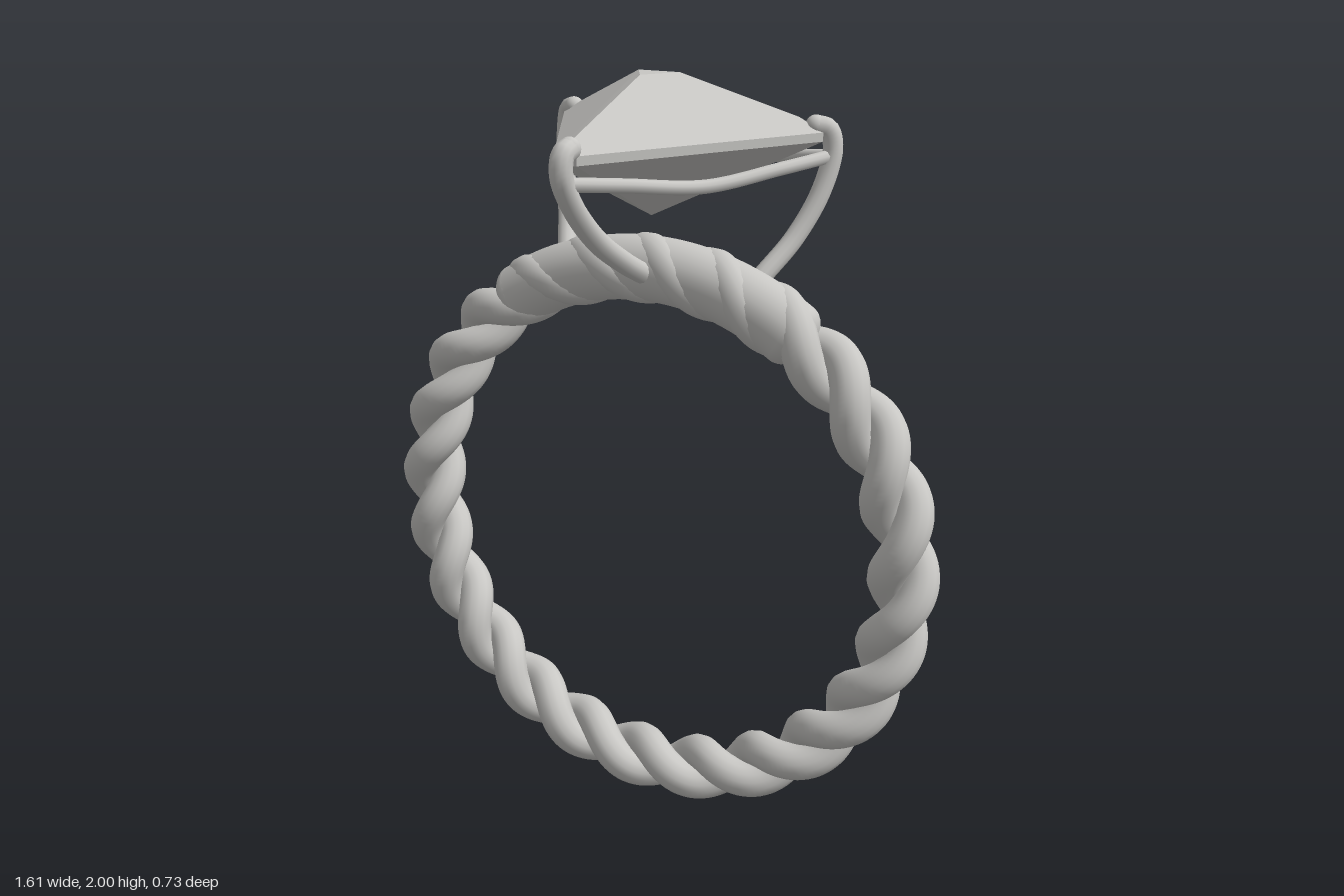
import * as THREE from 'three';
import { ConvexGeometry } from 'three/addons/geometries/ConvexGeometry.js';

const V = (x, y, z) => new THREE.Vector3(x, y, z);
const RING = { y: 0.805, z: -0.1, radius: 0.715 };

// Curve defined by a plain function of t in 0..1
class RuleCurve extends THREE.Curve {
  constructor(rule) {
    super();
    this.rule = rule;
  }
  getPoint(t, target = new THREE.Vector3()) {
    return target.copy(this.rule(t));
  }
}

// Point at angle a on the ring, moved outward and sideways
function ringPoint(a, out = 0, side = 0) {
  const r = RING.radius + out;
  return V(r * Math.cos(a), RING.y + r * Math.sin(a), RING.z + side);
}

export function createModel() {
  const model = new THREE.Group();
  const silver = new THREE.MeshStandardMaterial({ color: 0xc8c7c4 });
  silver.name = 'silver grey';

  function add(name, geometry, parent = model) {
    const mesh = new THREE.Mesh(geometry, silver);
    mesh.name = name;
    parent.add(mesh);
    return mesh;
  }
  function ball(name, p, r, parent) {
    add(name, new THREE.SphereGeometry(r, 16, 12), parent).position.copy(p);
  }

  // Twisted band: two strands wound around the ring
  const band = new THREE.Group();
  band.name = 'twistedBand';
  model.add(band);
  for (let i = 0; i < 2; i++) {
    const strand = new RuleCurve((t) => {
      const a = t * Math.PI * 2;
      const phi = 12 * a + i * Math.PI;
      return ringPoint(a, 0.041 * Math.cos(phi), -0.041 * Math.sin(phi));
    });
    add('strand', new THREE.TubeGeometry(strand, 480, 0.049, 14, true), band);
  }

  // Smooth shoulder on top of the band
  const half = THREE.MathUtils.degToRad(33);
  const shoulder = new THREE.TorusGeometry(RING.radius, 0.083, 24, 60, half * 2);
  shoulder.rotateZ(Math.PI / 2 - half);
  add('shoulder', shoulder).position.set(0, RING.y, RING.z);
  for (const s of [-1, 1]) {
    const end = new THREE.SphereGeometry(0.083, 24, 16);
    end.scale(0.7, 1, 1);
    const mesh = add('shoulderEnd', end);
    mesh.position.copy(ringPoint(Math.PI / 2 - s * half));
    mesh.rotation.z = -s * half;
  }

  // Three claws holding the stone
  function claw(name, points, r = 0.025) {
    const group = new THREE.Group();
    group.name = name;
    model.add(group);
    const path = new THREE.CatmullRomCurve3(points);
    add('clawStem', new THREE.TubeGeometry(path, 48, r, 12), group);
    ball('clawTip', points[0], r, group);
    ball('clawFoot', points[points.length - 1], r, group);
  }
  claw('frontClaw', [
    V(0.012, 1.875, 0.3), V(0.012, 1.865, 0.328), V(0.012, 1.82, 0.335), V(0.012, 1.75, 0.295),
    V(0.012, 1.65, 0.19), V(0.012, 1.57, 0.06), V(0.012, 1.52, -0.04),
  ], 0.027);
  for (const s of [-1, 1]) {
    claw(s > 0 ? 'backLeftClaw' : 'backRightClaw', [
      V(s * 0.345, 1.875, -0.3), V(s * 0.372, 1.865, -0.317), V(s * 0.384, 1.82, -0.322),
      V(s * 0.37, 1.72, -0.295), V(s * 0.33, 1.61, -0.235), V(s * 0.28, 1.52, -0.15),
    ]);
  }

  // Thin wavy wire linking the claws below the stone
  const corners = [V(0.012, 1.8, 0.325), V(0.38, 1.8, -0.315), V(-0.38, 1.8, -0.315)];
  corners.forEach((a, i) => {
    const b = corners[(i + 1) % 3];
    const bow = i === 1 ? 0.035 : 0.008;
    const outward = V(b.z - a.z, 0, a.x - b.x).normalize().negate();
    const points = [0, 0.2, 0.5, 0.8, 1].map((t, k) => {
      const p = a.clone().lerp(b, t);
      const w = [0, 1, 1, 1, 0][k];
      p.addScaledVector(outward, bow * w);
      p.y -= [0, 0.015, 0.038, 0.015, 0][k];
      return p;
    });
    add('galleryWire', new THREE.TubeGeometry(new THREE.CatmullRomCurve3(points), 40, 0.017, 10));
  });

  // Faceted triangular stone: table, crown corners, girdle and point
  const girdle = [[0.37, -0.29], [0.33, -0.33], [0.03, 0.3]];
  const stone = [V(0, 2, -0.04), V(0, 1.889, 0.27), V(0, 1.655, -0.1)];
  for (const s of [-1, 1]) {
    stone.push(V(s * 0.057, 2, -0.135), V(s * 0.31, 1.894, -0.28));
    for (const [x, z] of girdle) {
      stone.push(V(s * x, 1.86, z), V(s * x, 1.838, z));
    }
  }
  add('stone', new ConvexGeometry(stone));

  return model;
}
